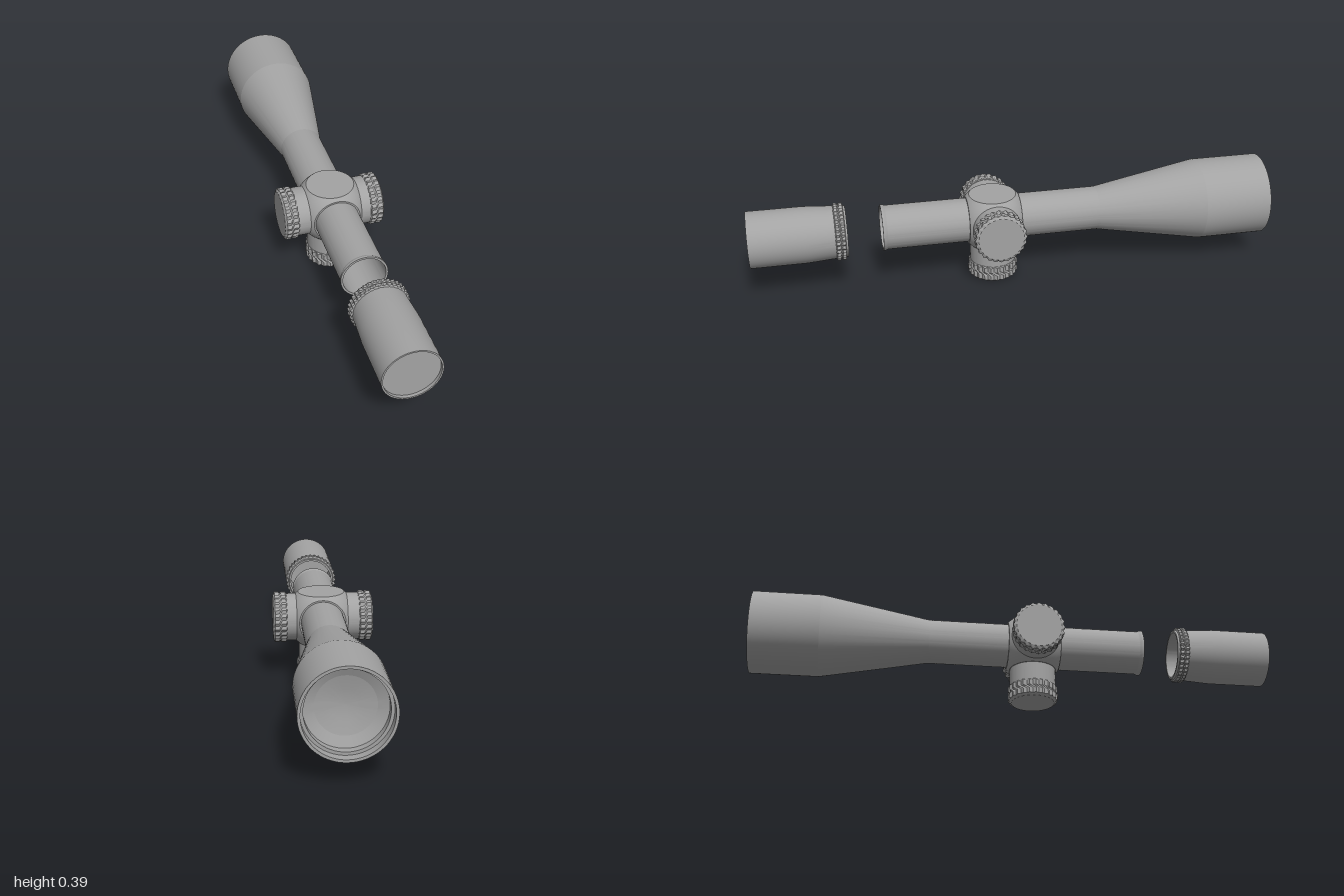
import * as THREE from 'three';
import { toCreasedNormals } from 'three/addons/utils/BufferGeometryUtils.js';

const grey = new THREE.MeshStandardMaterial({ color: 0xa3a3a3 });
grey.name = 'grey metal';

function part(name, geometry) {
  const mesh = new THREE.Mesh(geometry, grey);
  mesh.name = name;
  return mesh;
}

// Turned part about y from [radius, height] pairs
function turned(points, segments = 64) {
  const geo = new THREE.LatheGeometry(points.map(p => new THREE.Vector2(p[0], p[1])), segments);
  return toCreasedNormals(geo, 0.15);
}

// Faceted grip: rows of [height, peak radius, valley radius], alternating around the axis
function knurled(rows, teeth) {
  const geo = new THREE.LatheGeometry(rows.map(r => new THREE.Vector2(1, r[0])), teeth * 2);
  const pos = geo.attributes.position;
  for (let i = 0; i < pos.count; i++) {
    const row = rows[i % rows.length];
    const radius = row[1 + Math.floor(i / rows.length) % 2];
    pos.setX(i, pos.getX(i) * radius);
    pos.setZ(i, pos.getZ(i) * radius);
  }
  const flat = geo.toNonIndexed();
  flat.computeVertexNormals();
  return flat;
}

// Turret along +y: smooth neck and a cap with two rows of teeth
function turret(name, neckR, capR, start, end) {
  const group = new THREE.Group();
  group.name = name;
  group.add(part('turretNeck', turned([[neckR, 0.08], [neckR, start + 0.005]])));
  const len = end - start, low = capR - 0.006, mid = capR - 0.005;
  const at = t => start + len * t;
  group.add(part('turretCap', knurled([
    [at(0), 0, 0], [at(0), low, low], [at(0.08), capR, low], [at(0.36), capR, low],
    [at(0.48), mid, mid], [at(0.6), capR, low], [at(0.88), capR, low],
    [at(1), capR - 0.013, capR - 0.013], [at(1), 0, 0],
  ], 24)));
  return group;
}

// One side of the housing: flat disc and the rounded surface reaching the cube edges
function housingSide(half, discR) {
  const group = new THREE.Group();
  const ballR = Math.hypot(half, discR);
  const disc = part('housingFace', new THREE.CircleGeometry(discR, 64));
  disc.position.z = half;
  const geo = new THREE.PlaneGeometry(1, 1, 64, 4);
  const { position, normal, uv } = geo.attributes;
  const v = new THREE.Vector3();
  for (let i = 0; i < position.count; i++) {
    const a = -uv.getX(i) * Math.PI * 2, c = Math.cos(a), s = Math.sin(a);
    const edge = half / Math.max(Math.abs(c), Math.abs(s));
    const r = discR + (edge - discR) * uv.getY(i);
    v.set(c * r, s * r, half).setLength(ballR);
    position.setXYZ(i, v.x, v.y, v.z);
    v.normalize();
    normal.setXYZ(i, v.x, v.y, v.z);
  }
  group.add(disc, part('housingCorner', geo));
  return group;
}

export function createModel() {
  const model = new THREE.Group();
  model.name = 'scope';
  const axis = new THREE.Group();
  axis.name = 'opticalAxis';
  axis.position.set(0.004, 0.236, 0);
  model.add(axis);

  // Main tube with objective bell, recessed lens and open, flared near end
  const tube = part('mainTube', turned([
    [0, -0.905], [0.05, -0.909], [0.1, -0.92], [0.136, -0.935], [0.136, -0.965],
    [0.147, -0.965], [0.147, -1], [0.157, -1], [0.157, -0.74], [0.084, -0.33],
    [0.084, 0.488], [0.088, 0.497], [0.088, 0.505], [0.08, 0.505], [0.08, 0.3], [0, 0.3],
  ]));
  tube.rotation.x = Math.PI / 2;

  // Separate eyepiece: hollow at the far end, shallow lens recess at the near end
  const eyepiece = part('eyepiece', turned([
    [0, 0.8], [0.088, 0.8], [0.088, 0.636], [0.096, 0.636], [0.099, 0.645],
    [0.101, 0.7], [0.107, 0.79], [0.107, 1], [0.101, 1], [0.101, 0.988], [0, 0.988],
  ]));
  eyepiece.rotation.x = Math.PI / 2;
  const ring = part('eyepieceGrip', knurled([
    [0.643, 0.096, 0.096], [0.646, 0.109, 0.103], [0.657, 0.109, 0.103], [0.662, 0.102, 0.102],
    [0.667, 0.109, 0.103], [0.678, 0.109, 0.103], [0.683, 0.098, 0.098],
  ], 36));
  ring.rotation.x = Math.PI / 2;
  axis.add(tube, eyepiece, ring);

  // Turret housing: a cube rounded by a sphere
  const housing = new THREE.Group();
  housing.name = 'turretHousing';
  housing.position.z = 0.077;
  for (let i = 0; i < 4; i++) {
    const side = housingSide(0.101, 0.09);
    side.rotation.y = i * Math.PI / 2;
    housing.add(side);
  }
  for (const s of [-1, 1]) {
    const side = housingSide(0.101, 0.09);
    side.rotation.x = s * Math.PI / 2;
    housing.add(side);
  }
  axis.add(housing);

  // Side turrets and the lower turret
  for (const s of [-1, 1]) {
    const knob = turret(s > 0 ? 'leftTurret' : 'rightTurret', 0.092, 0.099, 0.14, 0.193);
    knob.rotation.z = -s * Math.PI / 2;
    knob.position.set(-0.004, 0, 0);
    housing.add(knob);
  }
  const lower = turret('lowerTurret', 0.088, 0.095, 0.171, 0.236);
  lower.rotation.x = Math.PI;
  housing.add(lower);

  // Small five-sided marker on the lower cap
  const marker = part('capMarker', toCreasedNormals(new THREE.CylinderGeometry(0.012, 0.015, 0.016, 5), 0.3));
  marker.rotation.x = Math.PI / 2;
  marker.position.set(0, -0.207, 0.089);
  housing.add(marker);

  return model;
}
